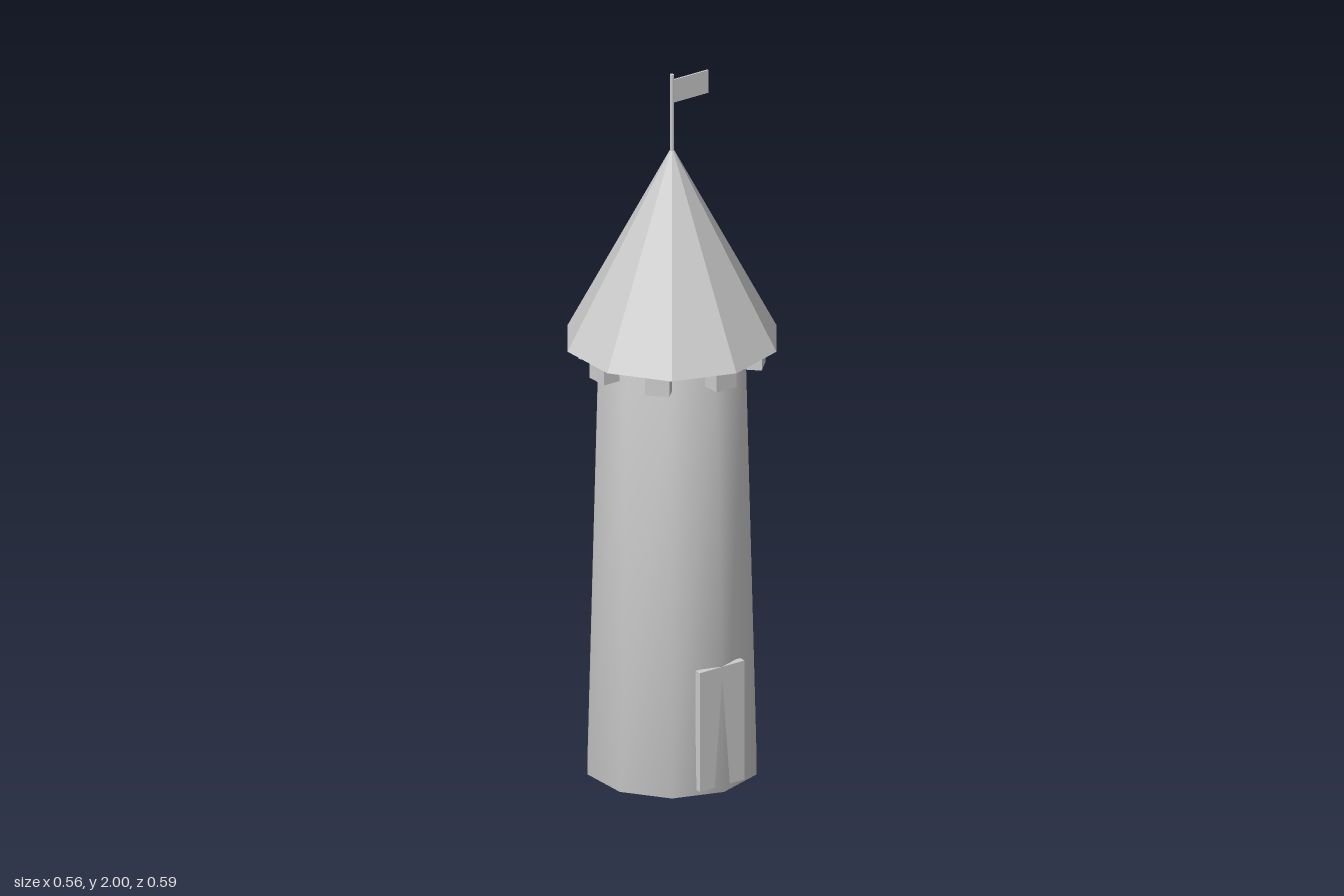
import * as THREE from 'three';
import { mergeVertices } from 'three/addons/utils/BufferGeometryUtils.js';

const SIDES = 10;
const smooth = new THREE.MeshStandardMaterial({ color: 0xcccccc });
const flat = new THREE.MeshStandardMaterial({ color: 0xcccccc, flatShading: true });

function add(parent, name, geometry, material, x, y, z) {
  const mesh = new THREE.Mesh(geometry, material);
  mesh.name = name;
  mesh.position.set(x, y, z);
  parent.add(mesh);
  return mesh;
}

// Welds all corners, so shading runs smoothly over the rims too
function weld(geometry) {
  geometry.deleteAttribute('normal');
  geometry.deleteAttribute('uv');
  const welded = mergeVertices(geometry, 1e-4);
  welded.computeVertexNormals();
  return welded;
}

export function createModel() {
  const tower = new THREE.Group();
  tower.name = 'tower';

  // Tapered ten-sided shaft
  const wallHeight = 1.234;
  add(tower, 'wall', weld(new THREE.CylinderGeometry(0.205, 0.237, wallHeight, SIDES)), smooth,
    0, wallHeight / 2, 0);

  // Door slab, with the wall's front edge showing through it
  add(tower, 'door', new THREE.BoxGeometry(0.147, 0.345, 0.02), flat, 0, 0.1875, 0.2185);

  // Ring of blocks under the eaves
  const blocks = new THREE.Group();
  blocks.name = 'eaveBlocks';
  tower.add(blocks);
  for (let i = 0; i < 8; i++) {
    const angle = (i / 8) * Math.PI * 2;
    const block = add(blocks, 'eaveBlock', new THREE.BoxGeometry(0.066, 0.066, 0.066), flat,
      Math.sin(angle) * 0.215, 1.204, Math.cos(angle) * 0.215);
    block.rotation.y = angle;
  }

  // Pointed roof
  add(tower, 'roof', new THREE.ConeGeometry(0.293, 0.558, SIDES), flat, 0, 1.234 + 0.279, 0);

  // Flagpole and flag
  add(tower, 'flagpole', new THREE.CylinderGeometry(0.006, 0.006, 0.24, 8), smooth, 0, 1.88, 0);
  add(tower, 'flag', new THREE.BoxGeometry(0.114, 0.066, 0.005), flat, 0.061, 1.951, 0);

  return tower;
}
